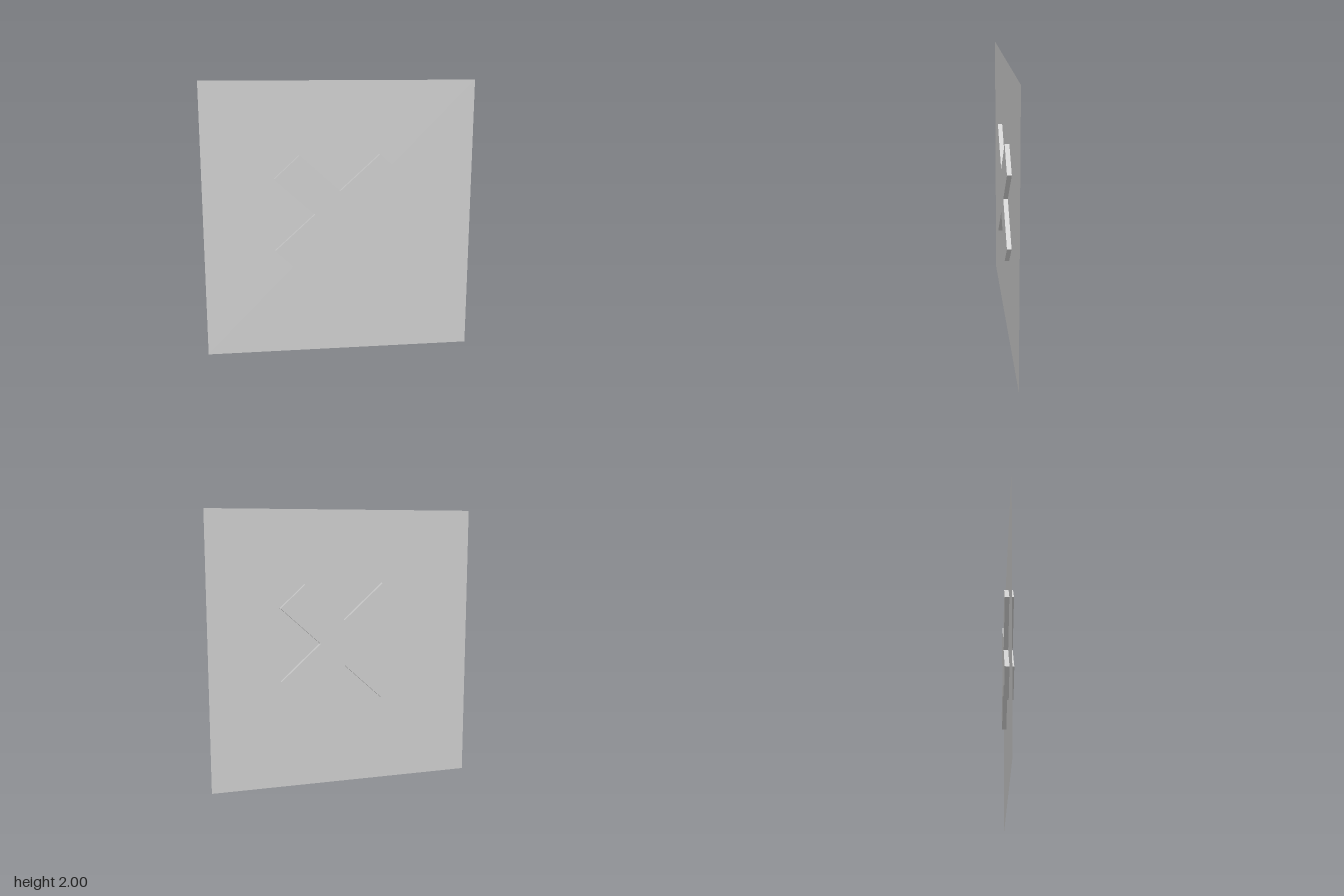
import * as THREE from 'three';

export function createModel() {
  const group = new THREE.Group();

  // Thin square panel, visible from both sides
  const panel = new THREE.Mesh(
    new THREE.PlaneGeometry(1.96, 2),
    new THREE.MeshStandardMaterial({ color: 0xcccccc, side: THREE.DoubleSide })
  );
  panel.name = 'panel';
  panel.position.y = 1;
  group.add(panel);

  // Diagonal cross standing out equally on both faces of the panel
  const quarter = [[0.18, 0], [0.47, 0.263], [0.29, 0.428], [0, 0.165]];
  const half = [...quarter, ...quarter.slice(0, 3).reverse().map(([x, y]) => [-x, y])];
  const outline = [...half, ...half.slice(1, -1).reverse().map(([x, y]) => [x, -y])];
  const depth = 0.064;
  const shape = new THREE.Shape(outline.map(([x, y]) => new THREE.Vector2(x, y)));
  const geometry = new THREE.ExtrudeGeometry(shape, { depth, bevelEnabled: false });
  geometry.translate(0, 0, -depth / 2);
  const cross = new THREE.Mesh(geometry, new THREE.MeshStandardMaterial({ color: 0xcccccc }));
  cross.name = 'raisedCross';
  cross.position.y = 1.05;
  group.add(cross);

  return group;
}
